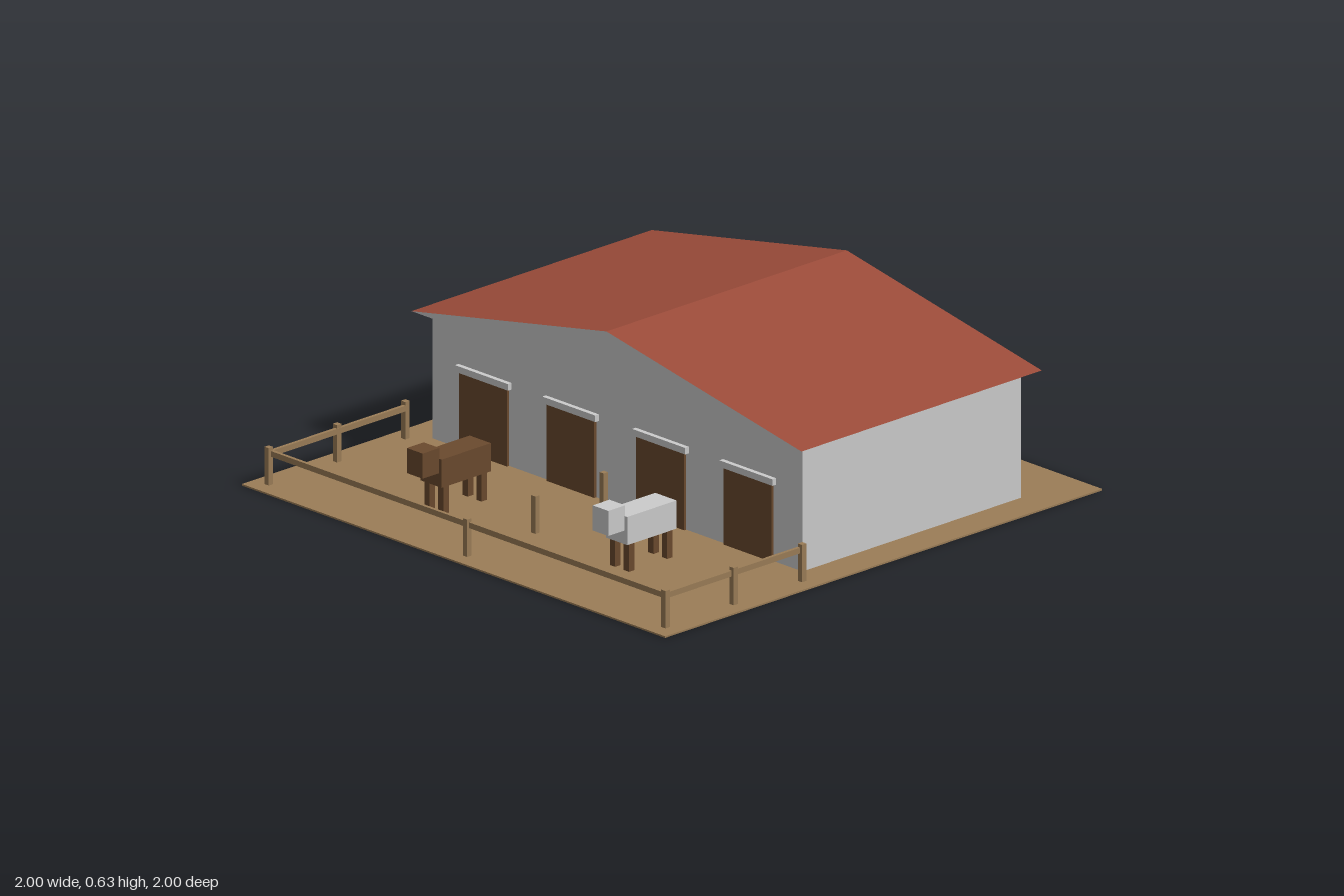
import * as THREE from 'three';

const mat = (name, color) => {
  const m = new THREE.MeshStandardMaterial({ color });
  m.name = name;
  return m;
};

export function createModel() {
  const earth = mat('earth brown', 0x9b7d57);
  const wall = mat('light grey', 0xcccccc);
  const red = mat('roof red', 0x9c4c3a);
  const dark = mat('dark brown', 0x6b4a2e);

  const model = new THREE.Group();
  model.name = 'stable';

  const add = (parent, name, geometry, material) => {
    const mesh = new THREE.Mesh(geometry, material);
    mesh.name = name;
    parent.add(mesh);
    return mesh;
  };
  // Box given by its ranges along each axis
  const box = (parent, name, material, [x0, x1], [y0, y1], [z0, z1]) =>
    add(parent, name, new THREE.BoxGeometry(x1 - x0, y1 - y0, z1 - z0), material)
      .position.set((x0 + x1) / 2, (y0 + y1) / 2, (z0 + z1) / 2);
  const around = (c, size) => [c - size / 2, c + size / 2];
  const group = (name) => {
    const g = new THREE.Group();
    g.name = name;
    model.add(g);
    return g;
  };

  // Yard and building
  box(model, 'ground', earth, [-1, 1], [0, 0.006], [-1, 1]);
  box(model, 'walls', wall, [-0.875, 0.875], [0.002, 0.452], [-0.75, 0.25]);

  // Gabled roof: grey gable ends, red slopes and underside
  const gable = new THREE.Shape([
    new THREE.Vector2(-0.922, 0.452),
    new THREE.Vector2(0.922, 0.452),
    new THREE.Vector2(0, 0.627),
  ]);
  const roof = new THREE.ExtrudeGeometry(gable, { depth: 1.1, bevelEnabled: false });
  roof.translate(0, 0, -0.8);
  add(model, 'roof', roof, [wall, red]);

  // Stall doors with lintels
  const doors = group('doors');
  for (const x of [-0.625, -0.2125, 0.2125, 0.625]) {
    box(doors, 'door', dark, around(x, 0.226), [0.006, 0.277], [0.25, 0.26]);
    box(doors, 'lintel', wall, around(x, 0.25), [0.277, 0.3], [0.25, 0.267]);
  }

  // Paddock fence: a grid of posts, rails on three sides
  const fence = group('fence');
  for (const x of [-0.9375, 0, 0.9375])
    for (const z of [0.3125, 0.625, 0.9375])
      box(fence, 'post', earth, around(x, 0.02), [0.004, 0.137], around(z, 0.02));
  const railY = [0.105, 0.125];
  box(fence, 'frontRail', earth, [-0.9375, 0.9375], railY, around(0.932, 0.0125));
  for (const s of [-1, 1])
    box(fence, 'sideRail', earth, around(s * 0.932, 0.0125), railY, [0.3125, 0.9375]);

  // Animals facing the front
  const animal = (name, coat, x, z) => {
    const g = group(name);
    box(g, 'body', coat, around(x, 0.1), [0.104, 0.203], around(z, 0.225));
    box(g, 'head', coat, around(x, 0.074), [0.152, 0.24], [z + 0.11, z + 0.187]);
    for (const sx of [-1, 1])
      for (const sz of [-1, 1])
        box(g, 'leg', dark, around(x + sx * 0.0325, 0.025), [0.004, 0.104],
          around(z + sz * 0.0875, 0.025));
  };
  animal('brownAnimal', dark, -0.377, 0.625);
  animal('greyAnimal', wall, 0.436, 0.5625);

  return model;
}
